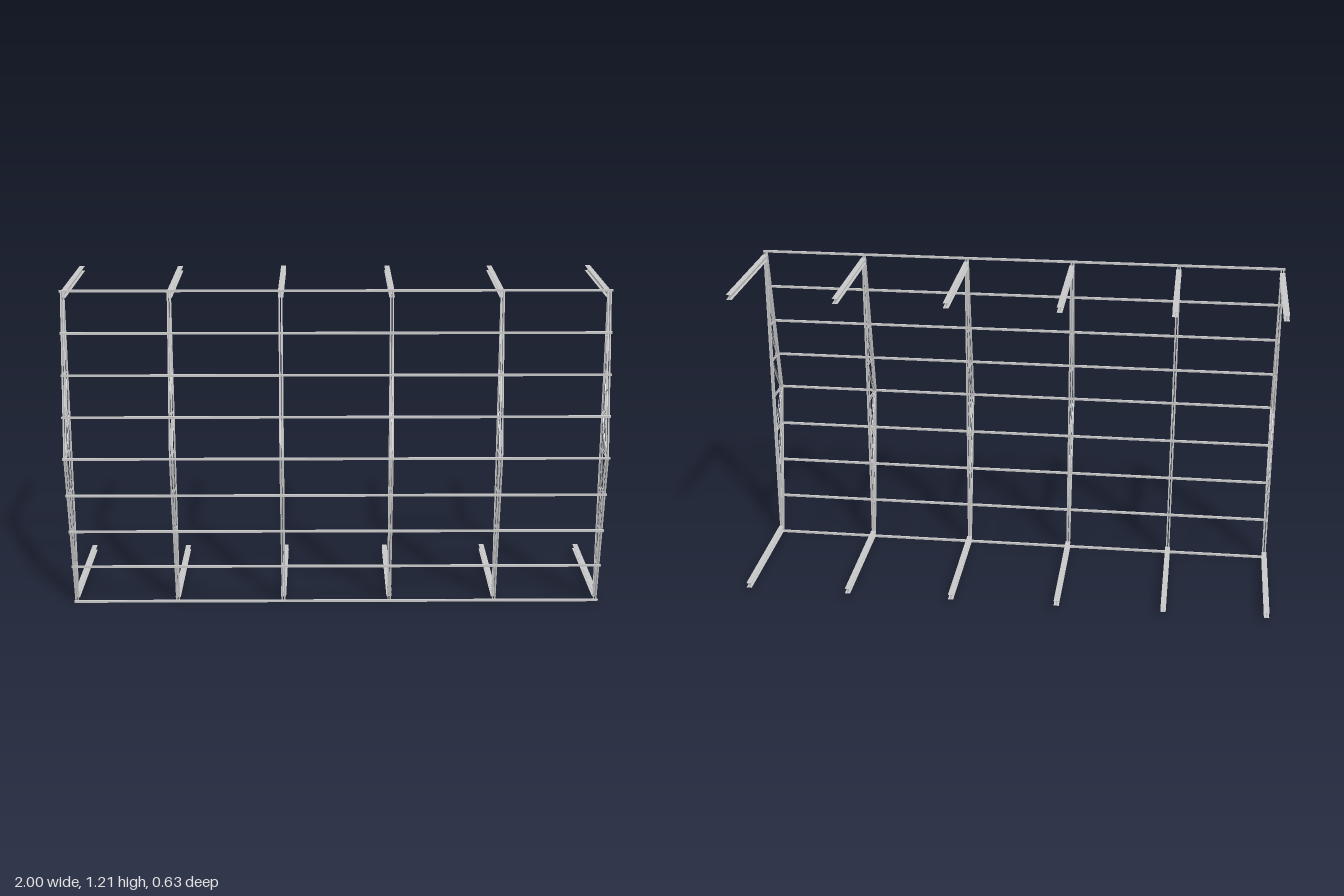
import * as THREE from 'three';

const steel = new THREE.MeshStandardMaterial({ color: 0xc8c8c8 });
steel.name = 'grey steel';

const poly = (pts) => new THREE.Shape(pts.map(([x, y]) => new THREE.Vector2(x, y)));

// two back-to-back angles with a small gap; s = +1 / -1 chooses the flange side
function doubleAngle(width, depth, t, gap, s) {
  const w = width / 2, g = gap / 2, f = (s * depth) / 2;
  return [1, -1].map((m) => poly([
    [m * g, -f], [m * (g + t), -f], [m * (g + t), f - s * t],
    [m * w, f - s * t], [m * w, f], [m * g, f],
  ]));
}

// wide-flange section with its web upright
function iSection(width, depth, t) {
  const w = width / 2, d = depth / 2, h = t / 2;
  return poly([[-w, -d], [w, -d], [w, -d + t], [h, -d + t], [h, d - t], [w, d - t],
    [w, d], [-w, d], [-w, d - t], [-h, d - t], [-h, -d + t], [-w, -d + t]]);
}

const topSection = doubleAngle(0.014, 0.016, 0.0015, 0.004, -1);
const bottomSection = doubleAngle(0.014, 0.014, 0.0015, 0.004, 1);
const webSection = doubleAngle(0.01, 0.005, 0.001, 0.004, 1);
const columnSection = iSection(0.02, 0.02, 0.0015);

// sweeps a section between two [y, z] points of the frame plane
function member(name, section, a, b) {
  const from = new THREE.Vector3(0, a[0], a[1]);
  const dir = new THREE.Vector3(0, b[0], b[1]).sub(from);
  const geo = new THREE.ExtrudeGeometry(section, { depth: dir.length(), bevelEnabled: false });
  dir.normalize();
  const side = new THREE.Vector3(1, 0, 0);
  const up = new THREE.Vector3().crossVectors(dir, side);
  geo.applyMatrix4(new THREE.Matrix4().makeBasis(side, up, dir).setPosition(from));
  const mesh = new THREE.Mesh(geo, steel);
  mesh.name = name;
  return mesh;
}

const MID = 0.608, STEP = 0.1505;
const nodeY = (i) => MID + i * STEP;
const chordZ = (i) => 0.303 - (0.109 * Math.abs(i)) / 4;
const BOTTOM_Z = 0.1925;

function createFrame() {
  const frame = new THREE.Group();
  frame.name = 'portalFrame';

  // chords
  frame.add(member('bottomChord', bottomSection, [0.01, BOTTOM_Z], [1.206, BOTTOM_Z]));
  frame.add(member('topChord', topSection, [nodeY(-4) + 0.004, chordZ(4)], [MID, chordZ(0)]));
  frame.add(member('topChord', topSection, [MID, chordZ(0)], [nodeY(4) - 0.004, chordZ(4)]));

  // struts and diagonals
  for (let i = -3; i <= 3; i++) {
    frame.add(member('strut', webSection, [nodeY(i), BOTTOM_Z], [nodeY(i), chordZ(i)]));
  }
  for (const s of [-1, 1]) {
    for (let i = 0; i < 3; i++) {
      frame.add(member('diagonal', webSection,
        [nodeY(s * i), chordZ(i)], [nodeY(s * (i + 1)), BOTTOM_Z]));
    }
    // column
    const y = MID + s * 0.583;
    frame.add(member('column', columnSection, [y, 0.188], [y, -0.317]));
  }
  return frame;
}

export function createModel() {
  const model = new THREE.Group();
  model.name = 'steelFrameBuilding';

  const frame = createFrame();
  for (const x of [-0.99, -0.605, -0.202, 0.202, 0.602, 0.989]) {
    const copy = frame.clone();
    copy.position.x = x;
    model.add(copy);
  }

  // purlins running the full length over the frames
  const purlinGeo = new THREE.BoxGeometry(2, 0.008, 0.009);
  for (let i = -4; i <= 4; i++) {
    const purlin = new THREE.Mesh(purlinGeo, steel);
    purlin.name = 'purlin';
    purlin.position.set(0, nodeY(i) - (i === -4 ? 0.002 : 0), chordZ(i) + 0.0105);
    model.add(purlin);
  }
  return model;
}
